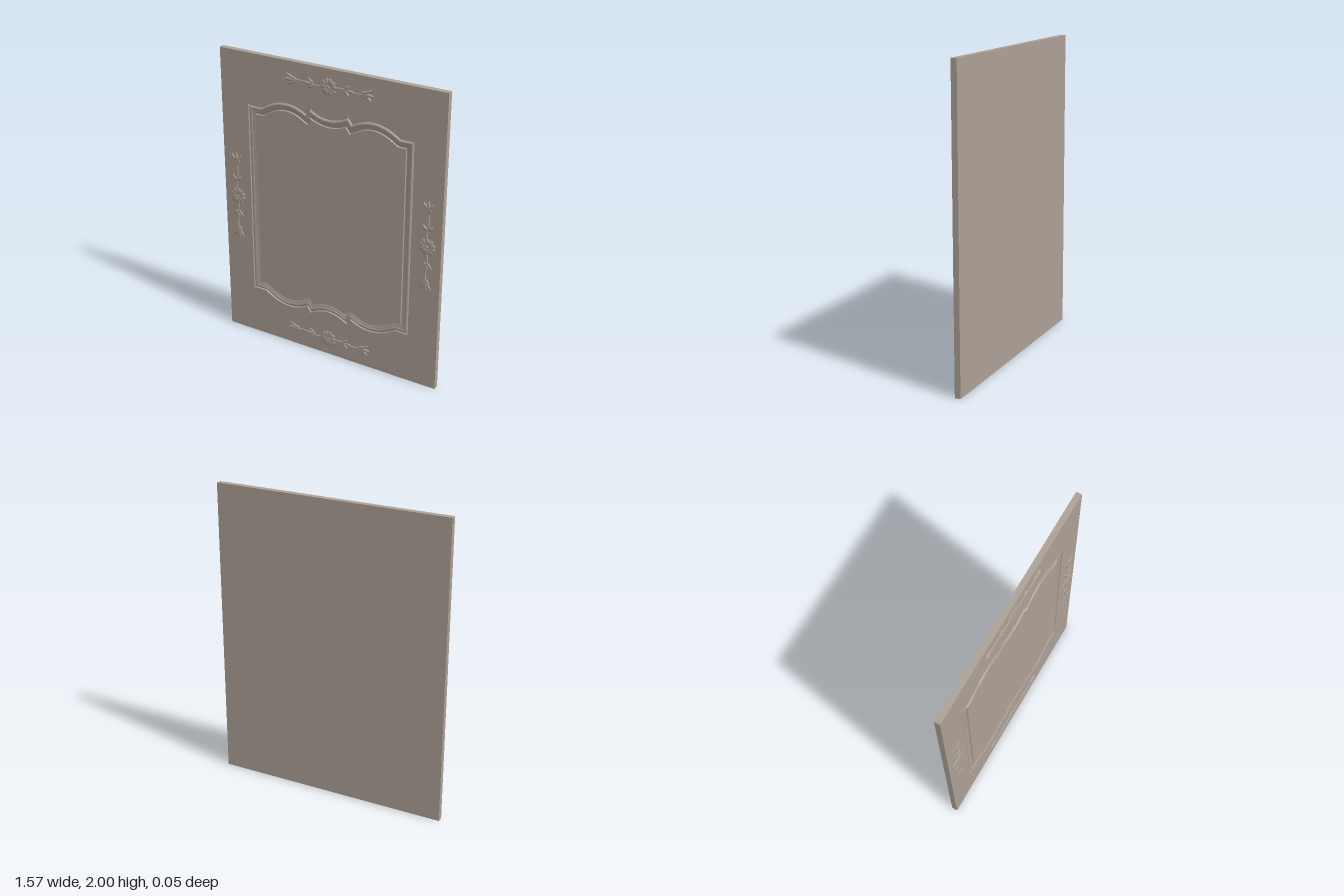
import * as THREE from 'three';
import { toCreasedNormals } from 'three/addons/utils/BufferGeometryUtils.js';

const W = 0.785, FACE = 0.015, BACK = -0.023, RELIEF = 0.008;

// Closed counter-clockwise outline of the moulding
function mouldingOutline() {
  const v = (x, y) => new THREE.Vector2(x, y);
  const arch = new THREE.QuadraticBezierCurve(v(0.49, 1.66), v(0.32, 1.778), v(0.165, 1.685));
  const dip = new THREE.QuadraticBezierCurve(v(0.135, 1.725), v(0.065, 1.68), v(0, 1.68));
  const half = [v(0.585, 1.66), ...arch.getPoints(16), ...dip.getPoints(10)];
  const top = [...half, ...half.slice(0, -1).reverse().map(p => v(-p.x, p.y))];
  return [...top, ...top.map(p => v(-p.x, 2 - p.y))];
}

// Mitred inward offset
function inset(points, d) {
  const n = points.length;
  const normal = (a, b) => new THREE.Vector2(a.y - b.y, b.x - a.x).normalize();
  return points.map((p, i) => {
    const n1 = normal(points[(i + n - 1) % n], p);
    const n2 = normal(p, points[(i + 1) % n]);
    return n1.clone().add(n2).multiplyScalar(d / (1 + n1.dot(n2))).add(p);
  });
}

// Sweep a profile of [inset, height] pairs round the outline
function sweep(points, profile) {
  const pos = [], index = [], n = points.length;
  for (const [d, z] of profile) for (const p of inset(points, d)) pos.push(p.x, p.y, FACE + z);
  for (let r = 0; r < profile.length - 1; r++) {
    for (let i = 0; i < n; i++) {
      const a = r * n + i, b = r * n + (i + 1) % n;
      index.push(a, b, b + n, a, b + n, a + n);
    }
  }
  const g = new THREE.BufferGeometry();
  g.setAttribute('position', new THREE.Float32BufferAttribute(pos, 3));
  g.setIndex(index);
  return toCreasedNormals(g, 0.6);
}

// Low domed leaf from the origin along +x; taper > 0 narrows the tip
function leafGeometry(length, width, height, taper) {
  const g = new THREE.SphereGeometry(1, 16, 5, 0, Math.PI * 2, 0, Math.PI / 2).rotateX(Math.PI / 2);
  const p = g.attributes.position;
  for (let i = 0; i < p.count; i++) {
    const x = p.getX(i);
    p.setXYZ(i, (x + 1) / 2 * length, p.getY(i) * width / 2 * (1 - taper * x), p.getZ(i) * height);
  }
  g.computeVertexNormals();
  return g;
}

export function createModel() {
  const model = new THREE.Group();
  const paint = new THREE.MeshStandardMaterial({ color: 0xada196 });
  paint.name = 'taupe paint';

  function add(parent, geometry, name, x = 0, y = 0, angle = 0) {
    const mesh = new THREE.Mesh(geometry, paint);
    mesh.name = name;
    mesh.position.set(x, y, 0);
    mesh.rotation.z = angle;
    parent.add(mesh);
    return mesh;
  }

  // Slab sides and back, left open where the face closes it
  const slab = new THREE.BoxGeometry(W * 2, 2, FACE - BACK);
  const idx = Array.from(slab.index.array);
  idx.splice(24, 6);
  slab.setIndex(idx);
  slab.clearGroups();
  slab.translate(0, 1, (FACE + BACK) / 2);
  add(model, slab, 'slab');

  // Face, moulding and centre panel
  const outline = mouldingOutline();
  const profile = [[0, 0], [0.003, -0.008], [0.007, -0.008], [0.010, -0.003], [0.015, 0.0005],
    [0.021, 0.001], [0.027, -0.0005], [0.030, -0.003], [0.036, -0.0035], [0.043, -0.005],
    [0.049, -0.008], [0.054, -0.008], [0.057, 0]];
  const face = new THREE.Shape([[-W, 0], [W, 0], [W, 2], [-W, 2]].map(p => new THREE.Vector2(...p)));
  face.holes.push(new THREE.Path(outline));
  add(model, new THREE.ShapeGeometry(face).translate(0, 0, FACE), 'frontFace');
  add(model, sweep(outline, profile), 'moulding');
  const panel = new THREE.Shape(inset(outline, 0.057));
  add(model, new THREE.ShapeGeometry(panel).translate(0, 0, FACE), 'centrePanel');

  // Shared ornament pieces
  const petal = leafGeometry(0.05, 0.031, RELIEF * 0.8, -0.35);
  const heart = leafGeometry(0.026, 0.026, RELIEF, 0);
  const longLeaf = leafGeometry(0.08, 0.026, RELIEF, 0.4);
  const sideLeaf = leafGeometry(0.062, 0.021, RELIEF * 0.85, 0.4);
  const smallLeaf = leafGeometry(0.05, 0.02, RELIEF * 0.75, 0.4);
  const path = [[0.04, 0], [0.09, 0.006], [0.14, -0.003], [0.19, -0.005], [0.25, 0]];
  const stem = new THREE.TubeGeometry(
    new THREE.CatmullRomCurve3(path.map(([x, y]) => new THREE.Vector3(x, y, 0))), 20, 0.0055, 8);

  function ornament(name, x, y, angle) {
    const g = new THREE.Group();
    g.name = name;
    g.position.set(x, y, FACE);
    g.rotation.z = angle;
    // Flower
    for (let i = 0; i < 10; i++) {
      const a = i * Math.PI / 5;
      add(g, petal, 'petal', 0.008 * Math.cos(a), 0.008 * Math.sin(a), a);
    }
    add(g, heart, 'flowerCentre', -0.013, 0);
    // Leafy sprigs on both sides
    for (const turn of [0, Math.PI]) {
      const sprig = new THREE.Group();
      sprig.name = 'sprig';
      sprig.rotation.z = turn;
      add(sprig, stem, 'stem');
      add(sprig, smallLeaf, 'middleLeaf', 0.125, 0);
      add(sprig, longLeaf, 'tipLeaf', 0.23, 0);
      for (const s of [-1, 1]) {
        add(sprig, smallLeaf, 'middleSideLeaf', 0.108, s * 0.002, s * 0.75);
        add(sprig, sideLeaf, 'tipSideLeaf', 0.245, s * 0.002, s * 0.62);
        add(sprig, smallLeaf, 'tipLowerLeaf', 0.222, s * 0.002, s * 0.45);
      }
      g.add(sprig);
    }
    model.add(g);
  }
  ornament('topOrnament', 0, 1.885, 0);
  ornament('bottomOrnament', 0, 0.12, 0);
  ornament('leftOrnament', 0.69, 1, Math.PI / 2);
  ornament('rightOrnament', -0.69, 1, Math.PI / 2);

  return model;
}
